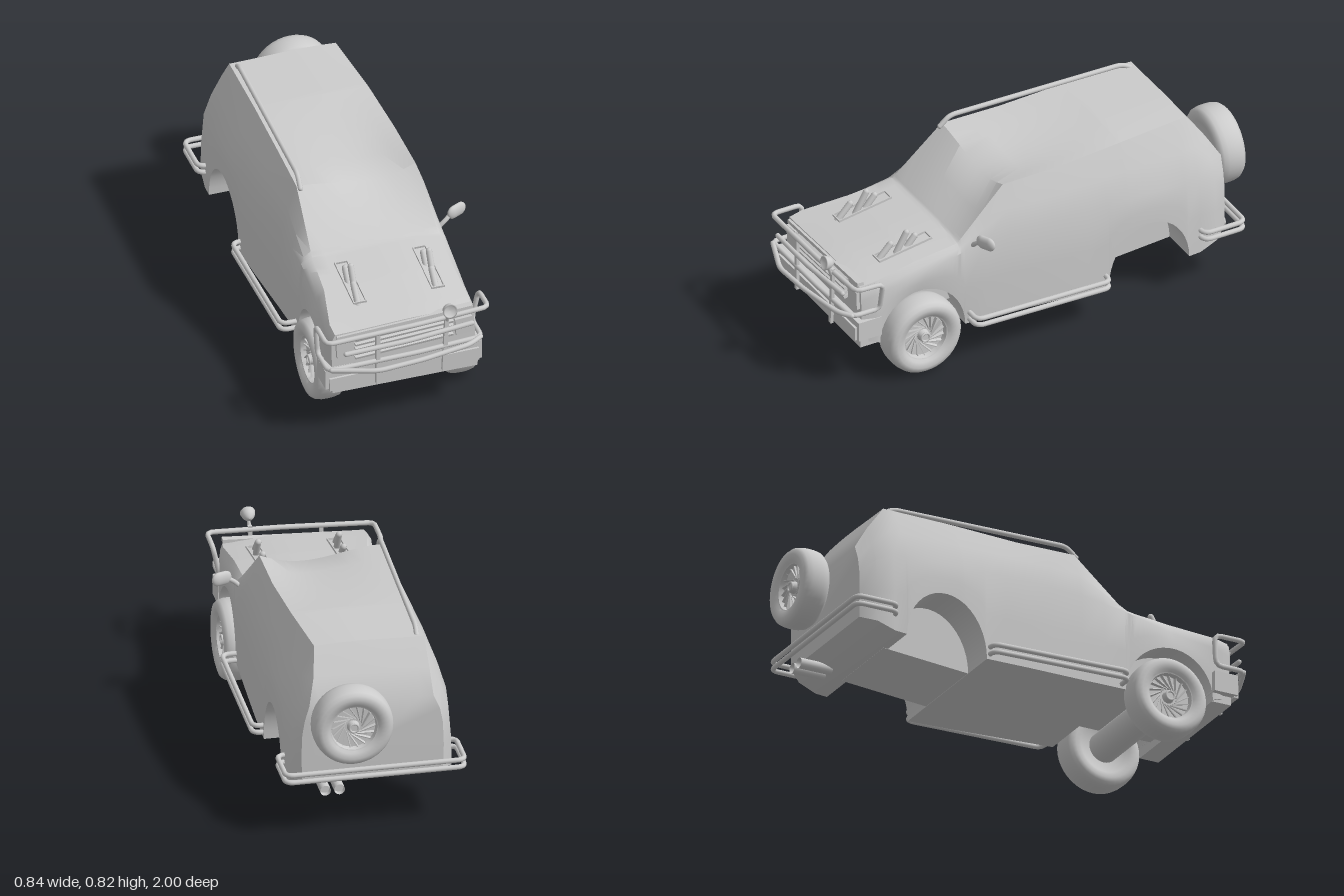
import * as THREE from 'three';
import { toCreasedNormals } from 'three/addons/utils/BufferGeometryUtils.js';

const grey = new THREE.MeshStandardMaterial({ color: 0xcccccc, side: THREE.DoubleSide });
const V = (p) => new THREE.Vector3(...p);

function add(parent, name, geo, pos = [0, 0, 0], rot = [0, 0, 0]) {
  const m = new THREE.Mesh(geo, grey);
  m.name = name;
  m.position.set(...pos);
  m.rotation.set(...rot);
  parent.add(m);
  return m;
}
const box = (parent, name, size, pos, rot) => add(parent, name, new THREE.BoxGeometry(...size), pos, rot);

// Bent pipe through the given corners, each rounded off by bend
function pipe(parent, name, corners, r = 0.011, bend = 0.035, closed = false) {
  const pts = corners.map(V), n = pts.length, path = new THREE.CurvePath();
  const toward = (a, b) => a.clone().lerp(b, Math.min(0.45, bend / a.distanceTo(b)));
  let from = closed ? toward(pts[0], pts[1]) : pts[0];
  for (let i = 1; i < (closed ? n + 1 : n - 1); i++) {
    const p = pts[i % n], enter = toward(p, pts[i - 1]), leave = toward(p, pts[(i + 1) % n]);
    path.add(new THREE.LineCurve3(from, enter));
    path.add(new THREE.QuadraticBezierCurve3(enter, p, leave));
    from = leave;
  }
  if (!closed) {
    path.add(new THREE.LineCurve3(from, pts[n - 1]));
    for (const p of [pts[0], pts[n - 1]]) add(parent, name + 'End', new THREE.SphereGeometry(r, 8, 6), p.toArray());
  }
  return add(parent, name, new THREE.TubeGeometry(path, n > 2 ? 120 : 2, r, 10, closed));
}

// Body stations: z, sill x (-,+), belt x (-,+), belt y, shoulder x (-,+), shoulder y, dent depth
const stations = [
  [0.86, -0.35, 0.27, -0.36, 0.27, 0.42, -0.345, 0.258, 0.485, -0.014],
  [0.80, -0.37, 0.29, -0.365, 0.285, 0.44, -0.348, 0.268, 0.497, -0.014],
  [0.60, -0.36, 0.29, -0.34, 0.295, 0.48, -0.305, 0.262, 0.533, -0.012],
  [0.40, -0.345, 0.30, -0.335, 0.30, 0.53, -0.29, 0.268, 0.562, -0.01],
  [0.17, -0.355, 0.31, -0.345, 0.312, 0.56, -0.28, 0.245, 0.77, 0.044],
  [-0.10, -0.37, 0.32, -0.36, 0.315, 0.56, -0.272, 0.245, 0.772, 0.016],
  [-0.40, -0.38, 0.325, -0.37, 0.315, 0.55, -0.27, 0.23, 0.785, -0.004],
  [-0.73, -0.378, 0.33, -0.362, 0.315, 0.54, -0.27, 0.2, 0.79, -0.006],
  [-0.81, -0.37, 0.325, -0.355, 0.305, 0.5, -0.275, 0.22, 0.68, -0.004],
  [-0.87, -0.32, 0.28, -0.32, 0.28, 0.45, -0.28, 0.25, 0.58, 0],
];

function sectionAt(z) {
  let i = 0;
  while (i < stations.length - 2 && z < stations[i + 1][0]) i++;
  const a = stations[i], b = stations[i + 1], t = (a[0] - z) / (a[0] - b[0]);
  return a.map((v, k) => v + (b[k] - v) * t);
}

// Lower edge of the body, front to back, with the two wheel arches
function lowerEdge() {
  const edge = [[0.86, 0.22], [0.80, 0.21]];
  const arch = (cz, rz, y0, y1, h) => {
    for (let i = 0; i <= 20; i++) {
      const a = (i / 20) * Math.PI;
      edge.push([cz + rz * Math.cos(a), y0 + (y1 - y0) * i / 20 + h * Math.sin(a)]);
    }
  };
  arch(0.58, 0.2, 0.2, 0.17, 0.215);
  for (const z of [0.28, 0.17, 0.03, -0.1, -0.2]) edge.push([z, 0.15 + (z + 0.29) * 0.03]);
  arch(-0.485, 0.19, 0.15, 0.18, 0.24);
  edge.push([-0.73, 0.184], [-0.81, 0.215], [-0.87, 0.24]);
  // extra stations where the body changes direction
  for (const z of [0.6, 0.4, -0.4]) {
    const k = edge.findIndex((e) => e[0] < z), a = edge[k - 1], b = edge[k];
    if (a[0] - z > 1e-4) edge.splice(k, 0, [z, a[1] + (b[1] - a[1]) * (a[0] - z) / (a[0] - b[0])]);
  }
  return edge;
}

function bodyGeometry() {
  const rings = lowerEdge().map(([z, yb]) => {
    const [, sl, sr, bl, br, by, tl, tr, ty, dent] = sectionAt(z);
    const ring = [[sl, yb], [(sl + bl) / 2 - 0.004, (yb + by) / 2], [bl, by]];
    ring.push([(bl + tl) / 2 - 0.008, (by + ty) / 2]);
    for (let i = 0; i <= 10; i++) {
      const u = i / 10;
      ring.push([tl + (tr - tl) * u, ty - dent * Math.sin(Math.PI * u ** 1.6)]);
    }
    ring.push([(br + tr) / 2 + 0.004, (by + ty) / 2]);
    ring.push([br, by], [(sr + br) / 2 + 0.004, (yb + by) / 2], [sr, yb]);
    return ring.map(([x, y]) => [x, y, z]);
  });
  const n = rings[0].length, pos = rings.flat(2), idx = [];
  for (let i = 0; i < rings.length - 1; i++) for (let j = 0; j < n; j++) {
    const a = i * n + j, b = i * n + (j + 1) % n;
    idx.push(a, b, a + n, b, b + n, a + n);
  }
  // nose and tail panels
  const c = rings.length * n, last = c - n;
  pos.push(-0.04, 0.37, 0.865, -0.02, 0.4, -0.875);
  for (let j = 0; j < n; j++) {
    const k = (j + 1) % n;
    idx.push(c, k, j, c + 1, last + j, last + k);
  }
  const g = new THREE.BufferGeometry();
  g.setAttribute('position', new THREE.Float32BufferAttribute(pos, 3));
  g.setIndex(idx);
  return toCreasedNormals(g, 0.6);
}

// Wheel lying on its axis y, outer face up
function wheel(name) {
  const g = new THREE.Group();
  g.name = name;
  const tyre = [[0, -0.045], [0.1, -0.05], [0.115, -0.062], [0.14, -0.067], [0.158, -0.062], [0.169, -0.048], [0.174, -0.025],
    [0.175, 0], [0.174, 0.025], [0.169, 0.048], [0.158, 0.062], [0.14, 0.067], [0.115, 0.062], [0.106, 0.052],
    [0.1, 0.05], [0.096, 0.026], [0, 0.024]];
  add(g, 'tyre', toCreasedNormals(new THREE.LatheGeometry(tyre.map((p) => new THREE.Vector2(...p)), 40), 0.7));
  for (let i = 0; i < 18; i++) {
    const holder = new THREE.Group();
    holder.name = 'spoke';
    holder.rotation.y = (i / 18) * Math.PI * 2;
    box(holder, 'spokeBar', [0.074, 0.014, 0.004], [0.06, 0.029, 0.012], [0.3, 0.4, 0]);
    g.add(holder);
  }
  add(g, 'hub', new THREE.CylinderGeometry(0.022, 0.028, 0.026, 20), [0, 0.034, 0]);
  add(g, 'hubRing', new THREE.TorusGeometry(0.019, 0.005, 8, 20), [0, 0.048, 0], [Math.PI / 2, 0, 0]);
  return g;
}

export function createModel() {
  const car = new THREE.Group();
  car.name = 'offRoadCar';
  add(car, 'body', bodyGeometry());

  // Floor between the wheel wells
  box(car, 'rearWellFloor', [0.37, 0.24, 0.4], [-0.025, 0.285, -0.487], [0.075, 0, 0]);
  box(car, 'frontWellFloor', [0.42, 0.17, 0.4], [-0.03, 0.315, 0.58]);

  // Front wheels, axle and spare wheel
  for (const [name, x, s] of [['leftFrontWheel', 0.272, 1], ['rightFrontWheel', -0.318, -1]]) {
    const w = wheel(name);
    w.position.set(x, 0.178, 0.58);
    w.rotation.z = -s * Math.PI / 2;
    car.add(w);
  }
  add(car, 'frontAxle', new THREE.CylinderGeometry(0.068, 0.068, 0.5, 28), [-0.02, 0.18, 0.58], [0, 0, Math.PI / 2]);
  const spare = wheel('spareWheel');
  spare.position.set(0.082, 0.518, -0.937);
  spare.rotation.x = -Math.PI / 2;
  spare.scale.set(0.985, 0.94, 0.985);
  car.add(spare);

  // Front bumper, grille and headlights
  box(car, 'frontBumper', [0.69, 0.09, 0.11], [-0.05, 0.283, 0.83], [0, 0, 0.01]);
  box(car, 'bumperFace', [0.66, 0.06, 0.02], [-0.05, 0.265, 0.885], [0, 0, 0.02]);
  box(car, 'bumperLip', [0.64, 0.04, 0.09], [-0.04, 0.218, 0.825]);
  for (let i = 0; i < 5; i++) box(car, 'grilleSlat', [0.43, 0.012, 0.025], [-0.045, 0.375 + i * 0.022, 0.868], [0.3, 0, 0.08]);
  box(car, 'hoodLip', [0.6, 0.016, 0.03], [-0.04, 0.485, 0.857], [0, 0, 0.05]);
  for (const x of [-0.305, 0.22]) box(car, 'headlight', [0.075, 0.08, 0.02], [x, 0.415, 0.865], [0, 0, 0.07]);

  // Bull bar
  pipe(car, 'bullBarLoop', [[0, 0.502, 0.92], [0.315, 0.515, 0.91], [0.315, 0.51, 0.78], [0.285, 0.37, 0.78], [0.285, 0.37, 0.91],
    [0, 0.36, 0.92], [-0.395, 0.35, 0.915], [-0.395, 0.35, 0.78], [-0.4, 0.485, 0.77], [-0.4, 0.485, 0.915]], 0.011, 0.03, true);
  pipe(car, 'bullBarMiddle', [[-0.32, 0.428, 0.93], [-0.05, 0.443, 0.94], [0.235, 0.463, 0.93]]);
  pipe(car, 'bullBarLower', [[-0.38, 0.352, 0.92], [-0.2, 0.355, 0.988], [0, 0.362, 0.98], [0.22, 0.37, 0.95], [0.28, 0.37, 0.91]]);
  box(car, 'bullBarStrut', [0.018, 0.25, 0.014], [-0.176, 0.368, 0.918]);
  box(car, 'bullBarStrut', [0.018, 0.28, 0.014], [0.122, 0.385, 0.918], [0, 0, -0.05]);

  // Spot lamp
  const lamp = [[0, -0.03], [0.014, -0.026], [0.026, -0.01], [0.032, 0.015], [0.026, 0.017], [0.022, 0.008], [0, 0.006]];
  add(car, 'spotLamp', new THREE.LatheGeometry(lamp.map((p) => new THREE.Vector2(...p)), 24), [0.13, 0.562, 0.945], [Math.PI / 2 - 0.2, 0, 0]);
  pipe(car, 'lampStem', [[0.128, 0.5, 0.925], [0.13, 0.545, 0.94]], 0.008);

  // Hood slots with exhaust stacks
  for (const x of [-0.188, 0.157]) {
    const slot = new THREE.Group();
    slot.name = 'hoodSlot';
    slot.position.set(x, 0.546, 0.6);
    slot.rotation.x = 0.155;
    for (const s of [-1, 1]) {
      box(slot, 'slotSide', [0.005, 0.01, 0.25], [s * 0.027, 0, 0]);
      box(slot, 'slotEnd', [0.059, 0.01, 0.005], [0, 0, s * 0.125]);
    }
    car.add(slot);
    for (const [z, top, dx] of [[0.6, 0.58, -0.004], [0.645, 0.616, 0.006], [0.715, 0.574, -0.006]]) {
      pipe(car, 'hoodStack', [[x + dx, 0.51, z], [x + dx, top, z - 0.06]], 0.014);
    }
  }

  // Roof rail
  pipe(car, 'roofRail', [[-0.268, 0.765, 0.185], [-0.265, 0.808, 0.14], [-0.245, 0.808, -0.67], [-0.242, 0.785, -0.71]], 0.011, 0.03);

  // Wing mirror
  pipe(car, 'mirrorArm', [[0.295, 0.55, 0.34], [0.318, 0.572, 0.34], [0.35, 0.595, 0.33]], 0.01);
  add(car, 'mirror', new THREE.CapsuleGeometry(0.031, 0.034, 8, 20), [0.374, 0.599, 0.322], [0, 0.4, Math.PI / 2 + 0.06]).scale.z = 0.5;

  // Side steps
  for (const [xo, xi] of [[0.367, 0.29], [-0.412, -0.32]]) for (const y of [0.222, 0.19]) {
    pipe(car, 'sideStep', [[xi, y, 0.36], [xo, y, 0.36], [xo, y - 0.015, -0.28], [xi, y - 0.015, -0.28]]);
  }

  // Rear bumper pipes and exhausts
  for (const y of [0.293, 0.26]) {
    pipe(car, 'rearBumperPipe', [[-0.33, y, -0.73], [-0.405, y, -0.73], [-0.405, y, -0.925], [0.36, y, -0.925], [0.36, y, -0.73], [0.28, y, -0.73]]);
  }
  for (const x of [0.19, 0.13]) {
    add(car, 'exhaust', new THREE.CylinderGeometry(0.023, 0.023, 0.15, 18, 1, true), [x, 0.203, -0.84], [Math.PI / 2, 0, 0]);
    add(car, 'exhaustPlug', new THREE.CircleGeometry(0.022, 18), [x, 0.203, -0.89]);
  }
  return car;
}
